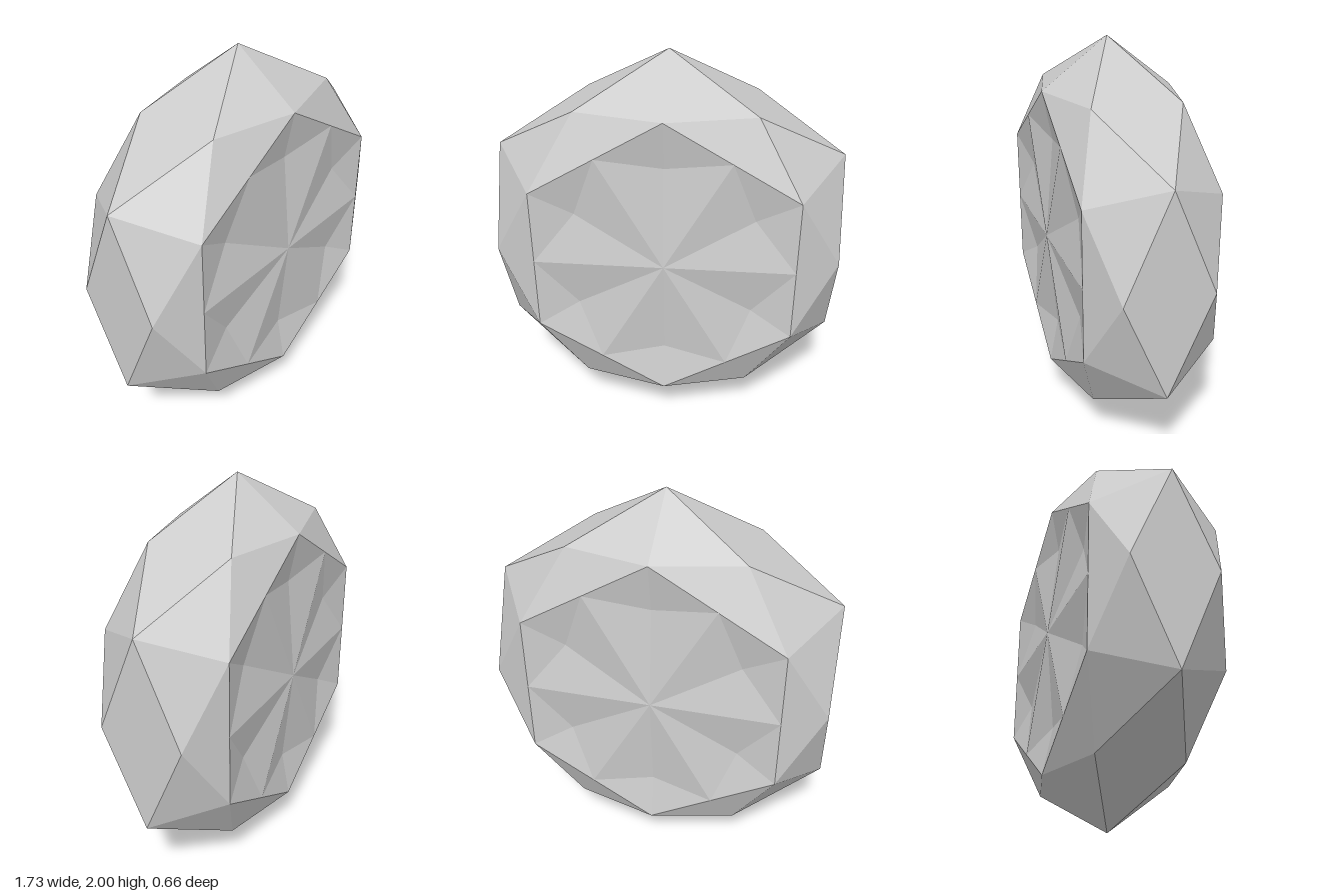
import * as THREE from 'three';

const SIDES = 6;
// Point on a ring: step counts from the top vertex, clockwise seen from the front
const ring = (radius, z) => (step) => {
  const a = (step * Math.PI * 2) / SIDES;
  return [radius * Math.sin(a), radius * Math.cos(a), z];
};

const girdle = ring(1, 0);                            // outer corners
const crown = (z) => ring(Math.cos(Math.PI / 6), z);  // middle of each outer edge
const table = ring(0.75, 0.33);                       // rim of the face
const rimMid = ring(0.75 * Math.cos(Math.PI / 6), 0.33);
const dimple = ring(0.51, 0.283);                     // sunken star points
const centre = [0, 0, 0.33];

function facets(name, triangles, material) {
  const geometry = new THREE.BufferGeometry();
  geometry.setAttribute('position', new THREE.Float32BufferAttribute(triangles.flat(2), 3));
  geometry.computeVertexNormals();
  const mesh = new THREE.Mesh(geometry, material);
  mesh.name = name;
  return mesh;
}

export function createModel() {
  const model = new THREE.Group();
  model.name = 'cutGem';
  const material = new THREE.MeshStandardMaterial({ color: 0xcccccc, flatShading: true });
  const front = crown(0.217), back = crown(-0.217);
  const sides = [], bevel = [], star = [];

  for (let i = 0; i < SIDES; i++) {
    const h = i + 0.5, p = i - 0.5;
    // Flat diamond on each side
    sides.push([girdle(i), front(h), back(h)], [girdle(i + 1), back(h), front(h)]);
    // Bevel: folded kite at each corner and a triangle between corners
    bevel.push(
      [girdle(i), table(i), front(h)],
      [girdle(i), front(p), table(i)],
      [front(h), table(i), table(i + 1)],
    );
    // Star face: valleys towards the corners, ridges towards the rim middles
    star.push(
      [centre, rimMid(h), dimple(i)],
      [centre, dimple(i), rimMid(p)],
      [table(i), dimple(i), rimMid(h)],
      [table(i), rimMid(p), dimple(i)],
    );
  }

  // Wind every facet outwards
  const outward = (tris, axisZ) => tris.map(([a, b, c]) => {
    const [A, B, C] = [a, b, c].map((v) => new THREE.Vector3(...v));
    const n = B.clone().sub(A).cross(C.clone().sub(A));
    const out = axisZ ? n.z : n.dot(A.add(B).add(C));
    return out < 0 ? [a, c, b] : [a, b, c];
  });

  model.add(facets('sideFacets', outward(sides, false), material));
  for (const [name, turn] of [['front', 0], ['back', Math.PI]]) {
    const half = new THREE.Group();
    half.name = name + 'Half';
    half.add(facets(name + 'Bevel', outward(bevel, true), material));
    half.add(facets(name + 'Star', outward(star, true), material));
    half.rotation.y = turn;
    model.add(half);
  }
  model.position.y = 1;

  const root = new THREE.Group();
  root.name = 'gem';
  root.add(model);
  return root;
}
